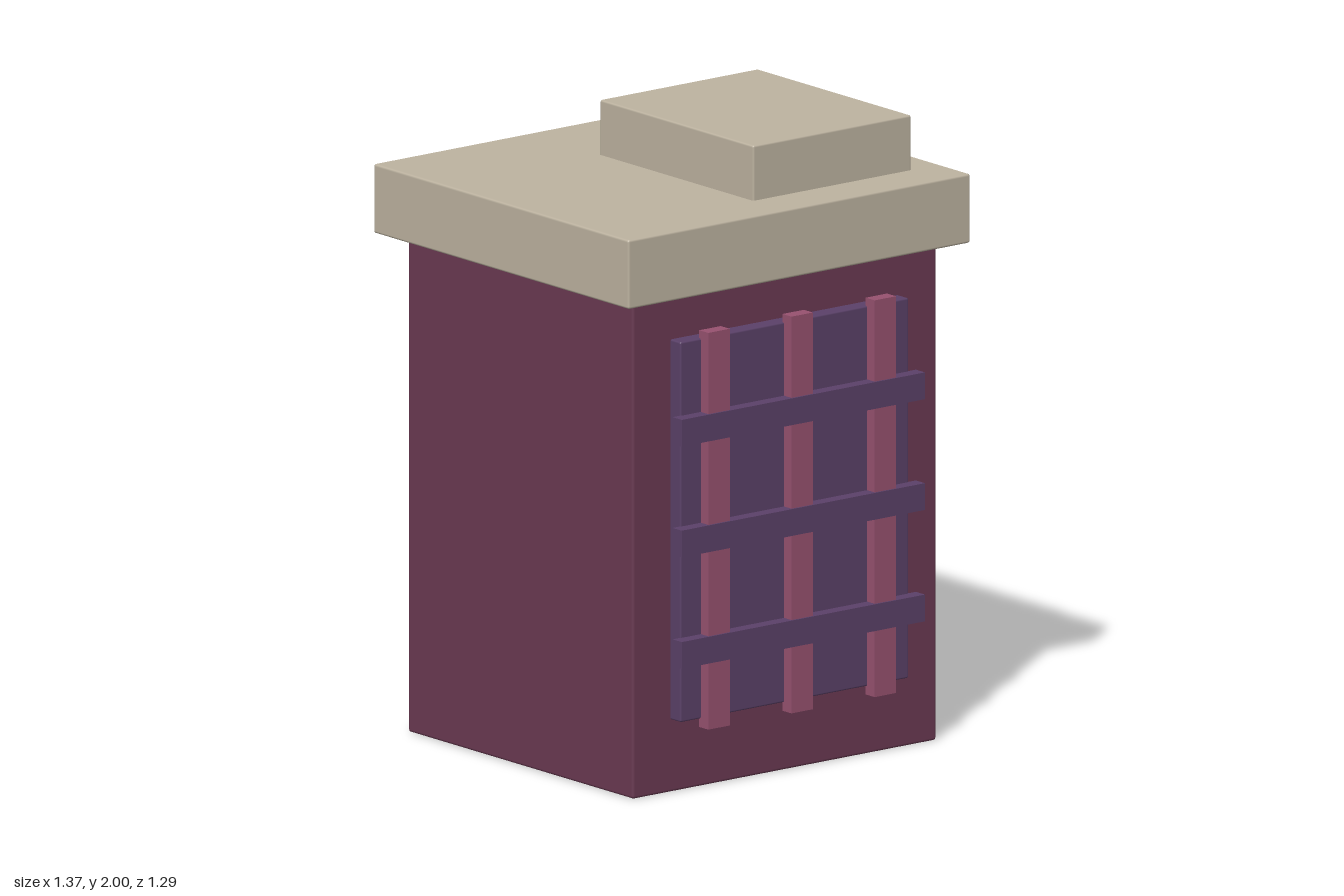
import * as THREE from 'three';
import { RoundedBoxGeometry } from 'three/addons/geometries/RoundedBoxGeometry.js';

const material = (name, color) => {
  const m = new THREE.MeshStandardMaterial({ color });
  m.name = name;
  return m;
};

export function createModel() {
  const model = new THREE.Group();
  model.name = 'chimneyHut';
  const plum = material('plum wall', 0x6b3a53);
  const stone = material('pale stone', 0xbeb4a1);
  const violet = material('violet panel', 0x5b4169);
  const rose = material('rose bar', 0x985270);

  // Box given by its lowest and highest corners, with an optional bevel
  function box(name, mat, [x0, y0, z0], [x1, y1, z1], bevel = 0) {
    const size = [x1 - x0, y1 - y0, z1 - z0];
    const geometry = bevel
      ? new RoundedBoxGeometry(...size, 1, bevel)
      : new THREE.BoxGeometry(...size);
    const mesh = new THREE.Mesh(geometry, mat);
    mesh.name = name;
    mesh.position.set((x0 + x1) / 2, (y0 + y1) / 2, (z0 + z1) / 2);
    model.add(mesh);
  }

  // Main block, overhanging slab and the offset block on top
  box('body', plum, [-0.608, 0, -0.565], [0.608, 1.61, 0.553], 0.009);
  box('roofSlab', stone, [-0.685, 1.6, -0.641], [0.685, 1.823, 0.627], 0.008);
  box('roofBlock', stone, [-0.063, 1.81, -0.288], [0.57, 2, 0.475], 0.007);

  // Window panel on the front
  box('windowPanel', violet, [-0.457, 0.233, 0.54], [0.457, 1.455, 0.603], 0.006);

  // Lattice: three upright bars crossed by three level bars
  for (const x of [-0.333, 0, 0.333])
    box('uprightBar', rose, [x - 0.043, 0.205, 0.595], [x + 0.043, 1.48, 0.64]);
  for (const y of [0.462, 0.82, 1.176])
    box('crossBar', violet, [-0.487, y - 0.043, 0.6], [0.487, y + 0.043, 0.646]);

  return model;
}
